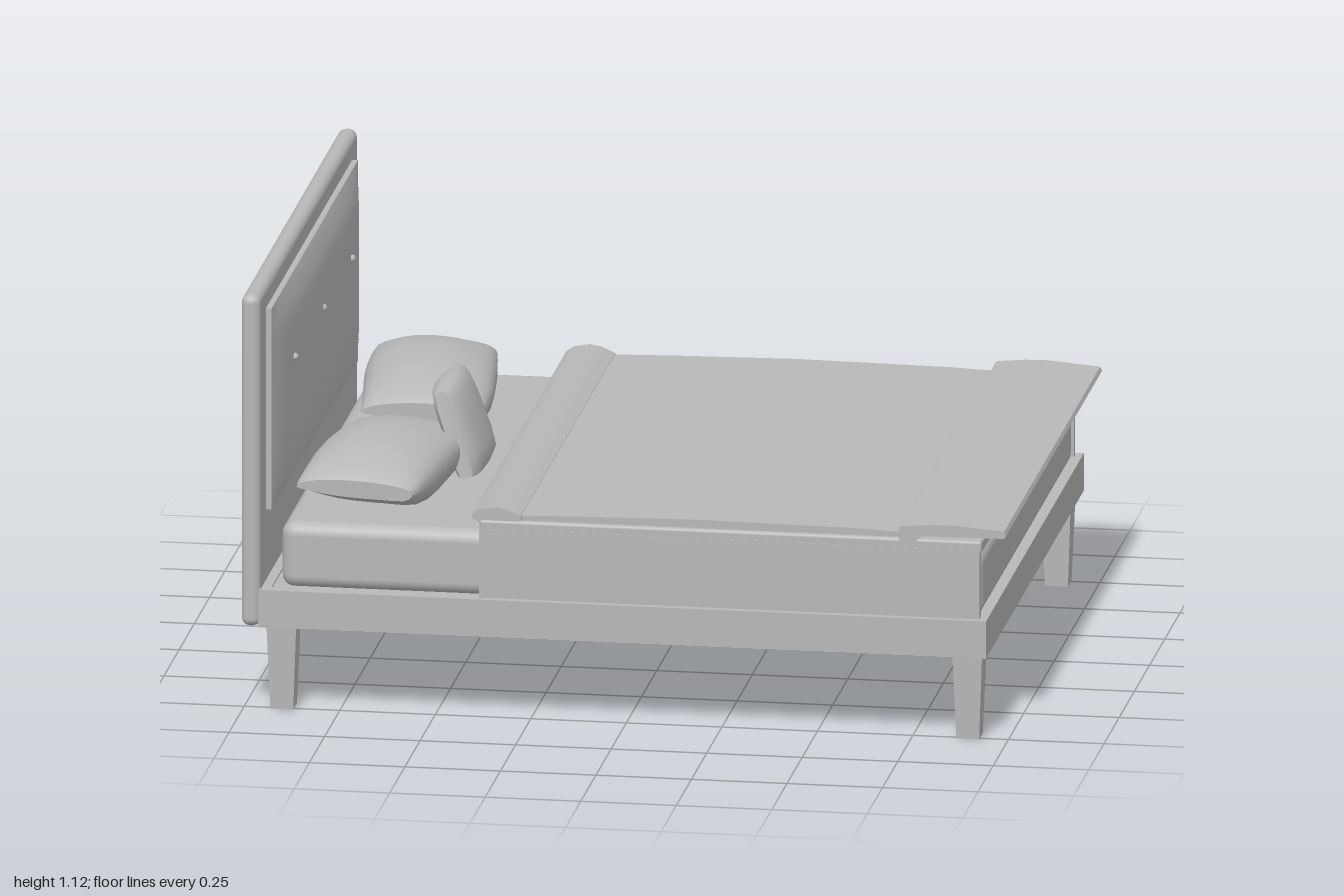
import * as THREE from 'three';
import { toCreasedNormals } from 'three/addons/utils/BufferGeometryUtils.js';
import { RoundedBoxGeometry } from 'three/addons/geometries/RoundedBoxGeometry.js';

export function createModel() {
  const model = new THREE.Group();
  model.name = 'bed';
  const grey = new THREE.MeshStandardMaterial({ color: 0xb8b8b8 });
  grey.name = 'plain grey';

  const add = (name, geometry) => {
    const mesh = new THREE.Mesh(geometry, grey);
    mesh.name = name;
    model.add(mesh);
  };
  // Box given by its limits on each axis, optionally with rounded edges
  const box = (name, [x0, x1], [y0, y1], [z0, z1], r = 0) => {
    const size = [x1 - x0, y1 - y0, z1 - z0];
    const g = r ? new RoundedBoxGeometry(...size, 3, r) : new THREE.BoxGeometry(...size);
    add(name, g.translate((x0 + x1) / 2, (y0 + y1) / 2, (z0 + z1) / 2));
  };
  // Side profile in x and y, extruded across the bed
  const across = (name, points, halfWidth) => {
    const shape = new THREE.Shape(points.map(p => new THREE.Vector2(...p)));
    const g = new THREE.ExtrudeGeometry(shape, { depth: 2 * halfWidth, bevelEnabled: false });
    add(name, toCreasedNormals(g.translate(0, 0, -halfWidth), 0.6));
  };
  // Loft through clockwise rings of [x, y, z] points, from high z to low z, capped at both ends
  const loft = (name, rings) => {
    const n = rings[0].length, index = [];
    const pos = rings.flat();
    for (const ring of [rings[0], rings[rings.length - 1]]) {
      pos.push([0, 1, 2].map(k => ring.reduce((s, p) => s + p[k], 0) / n));
    }
    const first = rings.length * n, lastRow = first - n;
    for (let i = 0; i < n; i++) {
      const j = (i + 1) % n;
      for (let r = 0; r < rings.length - 1; r++) {
        const a = r * n + i, b = r * n + j;
        index.push(a, b, b + n, a, b + n, a + n);
      }
      index.push(first, j, i, first + 1, lastRow + i, lastRow + j);
    }
    const g = new THREE.BufferGeometry();
    g.setAttribute('position', new THREE.Float32BufferAttribute(pos.flat(), 3));
    g.setIndex(index);
    add(name, toCreasedNormals(g, 0.8));
  };
  const smoothLoop = (points, count) => {
    const c = new THREE.CatmullRomCurve3(points.map(p => new THREE.Vector3(p[0], p[1], 0)), true);
    return c.getPoints(count).slice(0, count);
  };

  // Headboard with padded panel and buttons
  box('headboard', [-1, -0.95], [0.23, 1.12], [-0.81, 0.81], 0.022);
  const panel = new THREE.BoxGeometry(0.025, 0.54, 1.42, 1, 12, 24);
  const pp = panel.attributes.position;
  for (let i = 0; i < pp.count; i++) {
    if (pp.getX(i) <= 0) continue;
    const u = Math.min(1, Math.abs(pp.getY(i)) / 0.27);
    const v = Math.min(1, Math.abs(pp.getZ(i)) / 0.71);
    pp.setX(i, 0.005 + 0.024 * Math.sqrt((1 - u ** 4) * (1 - v ** 4)));
  }
  add('headboardPanel', toCreasedNormals(panel.translate(-0.94, 0.79, 0), 0.7));
  for (const z of [-0.47, 0, 0.47]) {
    add('button', new THREE.SphereGeometry(0.01, 12, 8).translate(-0.912, 0.865, z));
  }

  // Frame rails around a slightly recessed base
  for (const s of [-1, 1]) box('sideRail', [-0.955, 0.95], [0.23, 0.33], s > 0 ? [0.77, 0.805] : [-0.805, -0.77]);
  box('footRail', [0.915, 0.95], [0.23, 0.33], [-0.77, 0.77]);
  box('headRail', [-0.955, -0.925], [0.23, 0.33], [-0.77, 0.77]);
  box('baseBoard', [-0.925, 0.915], [0.255, 0.325], [-0.77, 0.77]);

  // Tapered square legs
  for (const x of [-0.9, 0.895]) {
    for (const z of [-0.73, 0.73]) {
      const leg = new THREE.CylinderGeometry(0.04 * Math.SQRT2, 0.03 * Math.SQRT2, 0.255, 4, 1);
      add('leg', toCreasedNormals(leg.rotateY(Math.PI / 4), 0.5).translate(x, 0.1275, z));
    }
  }

  // Mattress and bedding
  box('mattress', [-0.905, 0.93], [0.32, 0.497], [-0.75, 0.75], 0.035);
  box('blanketTop', [-0.38, 0.935], [0.503, 0.538], [-0.785, 0.785], 0.008);
  for (const s of [-1, 1]) {
    box('blanketSide', [-0.38, 0.93], [0.33, 0.515], s > 0 ? [0.765, 0.787] : [-0.787, -0.765]);
  }
  across('quilt', [[-0.3, 0.535], [0.76, 0.535], [0.76, 0.55], [0.6, 0.556], [0.2, 0.56],
    [-0.1, 0.555], [-0.3, 0.55]], 0.77);
  across('foldedSheet', [[-0.38, 0.53], [-0.29, 0.53], [-0.27, 0.54], [-0.272, 0.552],
    [-0.31, 0.568], [-0.34, 0.573], [-0.38, 0.565], [-0.4, 0.552], [-0.398, 0.54]], 0.78);
  across('footThrow', [[0.72, 0.525], [0.75, 0.522], [0.78, 0.548], [0.995, 0.55], [1, 0.558],
    [0.995, 0.569], [0.86, 0.58], [0.8, 0.579], [0.725, 0.572], [0.72, 0.565]], 0.79);

  // Two mirrored sleeping pillows
  const outline = smoothLoop([[-0.17, -0.005], [-0.15, 0.045], [-0.08, 0.078], [0, 0.085], [0.09, 0.07],
    [0.155, 0.038], [0.172, 0], [0.15, -0.065], [0.07, -0.07], [-0.05, -0.06], [-0.14, -0.025]], 28);
  // Station along the width: distance from the middle, height scale, length scale, shift in x
  const stations = [[0.08, 0.3, 0.9, 0.025], [0.1, 0.5, 0.93, 0.025], [0.18, 0.76, 0.96, 0.02], [0.28, 0.93, 0.99, 0.012],
    [0.38, 1, 1, 0], [0.48, 0.97, 0.99, -0.01], [0.58, 0.78, 0.96, -0.02], [0.65, 0.5, 0.93, -0.027], [0.67, 0.3, 0.9, -0.03]];
  for (const s of [-1, 1]) {
    const rings = stations.map(([z, h, w, dx]) => outline.map(p =>
      [-0.695 + dx + p.x * w, 0.57 + p.y * h, s * (z + 0.08 * p.x)]));
    loft('pillow', s > 0 ? rings.reverse() : rings);
  }

  // Small cushion leaning on the pillows
  const lean = smoothLoop([[-0.6, 0.71], [-0.585, 0.725], [-0.55, 0.735], [-0.525, 0.72], [-0.485, 0.63],
    [-0.455, 0.51], [-0.49, 0.502], [-0.53, 0.502], [-0.57, 0.61]], 26);
  // Station across the cushion: position from -1 to 1, thickness scale
  const slices = [[1, 0.45], [0.9, 0.7], [0.6, 0.9], [0, 1], [-0.6, 0.9], [-0.9, 0.7], [-1, 0.45]];
  loft('cushion', slices.map(([v, thick]) => lean.map(p => {
    const t = (p.y - 0.5) / 0.235, mid = -0.495 - 0.07 * t;
    const half = 0.157 - 0.022 * t * t;
    return [mid + (p.x - mid) * thick, p.y - 0.012 * v * v * t, 0.113 + v * half];
  })));

  return model;
}
